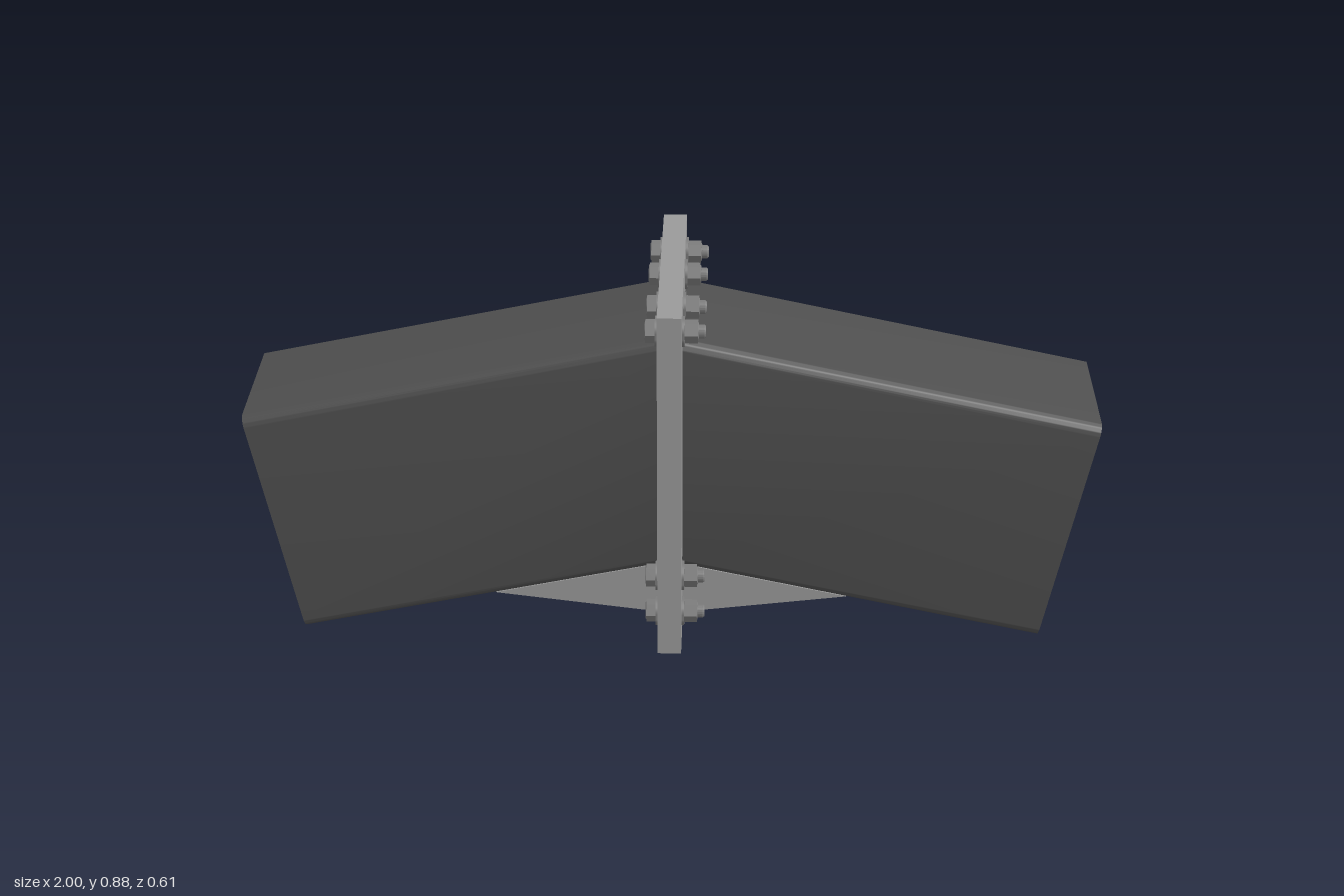
import * as THREE from 'three';
import { toCreasedNormals } from 'three/addons/utils/BufferGeometryUtils.js';

const material = (name, color) => {
  const m = new THREE.MeshStandardMaterial({ color });
  m.name = name;
  return m;
};

// Rounded rectangle outline centred on x, from y = 0 to y = h, inset by t
function roundedRect(Type, halfWidth, h, r, t = 0) {
  const p = new Type(), w = halfWidth - t, lo = t, hi = h - t;
  p.moveTo(w, lo + r);
  p.absarc(w - r, hi - r, r, 0, Math.PI / 2);
  p.absarc(-w + r, hi - r, r, Math.PI / 2, Math.PI);
  p.absarc(-w + r, lo + r, r, Math.PI, Math.PI * 1.5);
  p.absarc(w - r, lo + r, r, Math.PI * 1.5, Math.PI * 2);
  return p;
}

export function createModel() {
  const root = new THREE.Group();
  root.name = 'splicedBeamJoint';
  const tubeMat = material('dark steel', 0x4f4f4f);
  const plateMat = material('light steel', 0x9a9a9a);
  const boltMat = material('bolt steel', 0x7c7c7c);

  const add = (parent, name, geometry, mat) => {
    const m = new THREE.Mesh(geometry, mat);
    m.name = name;
    parent.add(m);
    return m;
  };

  const T = 0.028;                 // end plate thickness
  const tilt = THREE.MathUtils.degToRad(12);
  const c = Math.cos(tilt), s = Math.sin(tilt);
  const H = 0.576, endX = 0.88;    // tube height, x of its lower outer corner

  // Hollow tube: square cut outside, mitred against the end plate
  const section = roundedRect(THREE.Shape, 0.19, H, 0.026);
  section.holes.push(roundedRect(THREE.Path, 0.19, H, 0.012, 0.015));
  const tubeRaw = new THREE.ExtrudeGeometry(section, { depth: 1, bevelEnabled: false, curveSegments: 6 });
  const pos = tubeRaw.attributes.position;
  for (let i = 0; i < pos.count; i++) {
    const z = -pos.getX(i), v = pos.getY(i), w = pos.getZ(i);
    const ex = endX + v * s, ey = v * c;            // point on the outer end
    const x = THREE.MathUtils.lerp(T, ex, w);
    pos.setXYZ(i, x, ey + (ex - x) * Math.tan(tilt), z);
  }
  const tubeGeo = toCreasedNormals(tubeRaw, 0.5);

  // Triangular stiffener below the tube
  const under = x => (endX - x) * Math.tan(tilt);
  const tri = new THREE.Shape([
    new THREE.Vector2(T, 0.05),
    new THREE.Vector2(0.42, under(0.42)),
    new THREE.Vector2(T, under(T)),
  ]);
  const gussetGeo = new THREE.ExtrudeGeometry(tri, { depth: 0.018, bevelEnabled: false });
  gussetGeo.translate(0, 0, -0.009);

  // Two matching halves, the second turned half a revolution
  const plateGeo = new THREE.BoxGeometry(T, 0.87, 0.61);
  for (const side of [1, -1]) {
    const half = new THREE.Group();
    half.name = side > 0 ? 'leftBeam' : 'rightBeam';
    half.rotation.y = side > 0 ? 0 : Math.PI;
    add(half, 'tube', tubeGeo, tubeMat);
    add(half, 'endPlate', plateGeo, plateMat).position.set(T / 2, 0.447, 0);
    for (const z of [-0.165, 0.165]) add(half, 'gusset', gussetGeo, plateMat).position.z = z;
    root.add(half);
  }

  // Bolt parts lie along x, from x0 to x1
  const rod = (r, x0, x1, sides, rEnd = r) => {
    const g = new THREE.CylinderGeometry(rEnd, r, x1 - x0, sides);
    g.rotateZ(-Math.PI / 2);
    g.translate((x0 + x1) / 2, 0, 0);
    return toCreasedNormals(g, 0.5);
  };
  const boltParts = [
    ['nutWasher', rod(0.035, T, T + 0.006, 28)],
    ['nut', rod(0.027, T + 0.006, 0.064, 6)],
    ['nutCollar', rod(0.022, 0.064, 0.066, 20, 0.02)],
    ['shankEnd', rod(0.016, 0.064, 0.078, 20)],
    ['shankTip', rod(0.016, 0.078, 0.082, 20, 0.013)],
    ['headWasher', rod(0.035, -T - 0.006, -T, 28)],
    ['head', rod(0.027, -0.056, -T - 0.006, 6)],
    ['headCrown', rod(0.02, -0.058, -0.056, 20, 0.022)],
  ];
  const rows = [[0.817, 0.23], [0.817, 0.095], [0.182, 0.23], [0.086, 0.23]];
  for (const [y, z] of rows) {
    for (const side of [1, -1]) {
      const bolt = new THREE.Group();
      bolt.name = 'bolt';
      bolt.position.set(0, y, z * side);
      for (const [name, geo] of boltParts) add(bolt, name, geo, boltMat);
      root.add(bolt);
    }
  }
  return root;
}
